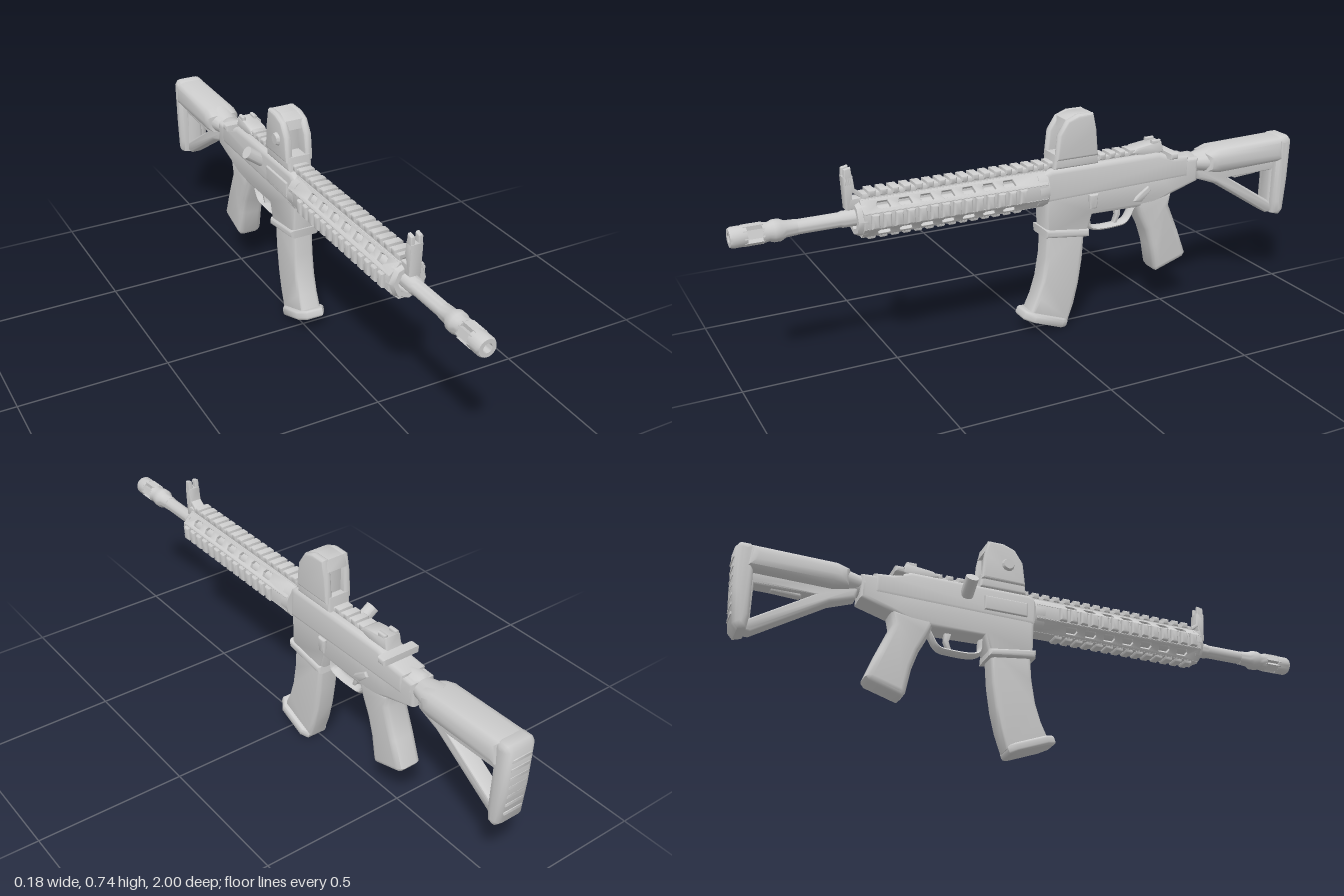
import * as THREE from 'three';
import { toCreasedNormals } from 'three/addons/utils/BufferGeometryUtils.js';

const CX = 0.012; // centre plane of the body
const AXIS = 0.509; // height of the barrel axis
const grey = new THREE.MeshStandardMaterial({ color: 0xcccccc });
grey.name = 'lightGrey';

function mesh(name, geo, parent) {
  const m = new THREE.Mesh(toCreasedNormals(geo, 0.8), grey);
  m.name = name;
  parent.add(m);
  return m;
}
const toShape = (pts) => new THREE.Shape(pts.map(([z, y]) => new THREE.Vector2(z, y)));

// Side profile in (z, y), extruded across x with bevelled edges
function prism(name, pts, width, parent, { x = CX, bevel = 0.006, holes = [] } = {}) {
  const shape = toShape(pts);
  holes.forEach((h) => shape.holes.push(toShape(h)));
  const geo = new THREE.ExtrudeGeometry(shape, {
    depth: width - 2 * bevel, bevelEnabled: true, bevelThickness: bevel,
    bevelSize: bevel, bevelOffset: -bevel, bevelSegments: 3,
  });
  geo.translate(0, 0, bevel - width / 2).rotateY(-Math.PI / 2).translate(x, 0, 0);
  return mesh(name, geo, parent);
}
const rect = (z0, z1, y0, y1) => [[z0, y0], [z1, y0], [z1, y1], [z0, y1]];

// Turned part along z; profile points are [radius, z]
function turned(name, pts, parent, segs = 20, y = AXIS) {
  const geo = new THREE.LatheGeometry(pts.map(([r, z]) => new THREE.Vector2(r, z)), segs);
  geo.rotateX(Math.PI / 2).translate(CX, y, 0);
  return mesh(name, geo, parent);
}
function part(name, parent) {
  const g = new THREE.Group();
  g.name = name;
  parent.add(g);
  return g;
}

function buildBarrel(root) {
  const g = part('barrel', root);
  turned('barrelTube', [[0, -0.02], [0.026, -0.02], [0.026, 0.66], [0.023, 0.67], [0.023, 0.83], [0, 0.83]], g);
  turned('muzzleCollar', [[0, 0.8], [0.024, 0.8], [0.026, 0.835], [0.034, 0.85], [0.034, 0.87], [0.029, 0.885],
    [0.032, 0.905], [0.014, 0.905], [0.014, 0.87], [0, 0.87]], g);
  // slotted muzzle: bars between two rings
  turned('muzzleRing', [[0.015, 0.95], [0.032, 0.95], [0.032, 0.992], [0.028, 1], [0.015, 1], [0.015, 0.95]], g);
  for (let i = 0; i < 5; i++) {
    const geo = new THREE.BoxGeometry(0.026, 0.014, 0.06);
    geo.translate(0, 0.0235, 0.93).rotateZ((i / 5) * Math.PI * 2).translate(CX, AXIS, 0);
    mesh('muzzleBar', geo, g);
  }
}

function buildHandguard(root) {
  const g = part('handguard', root);
  const shell = part('handguardShell', g);
  shell.position.set(CX, AXIS, 0);
  const slots = [];
  for (let i = 0; i < 7; i++) {
    const z = 0.1 + i * 0.07;
    slots.push([[z, -0.01], [z + 0.008, -0.013], [z + 0.038, -0.013], [z + 0.044, 0], [z + 0.038, 0.012], [z + 0.006, 0.012]]);
  }
  for (let i = 0; i < 8; i++) {
    const side = part('handguardSide', shell);
    side.rotation.z = (i * Math.PI) / 4;
    const diagonal = i % 2 === 1;
    prism('panel', rect(-0.01, 0.61, -0.027, 0.027), 0.012, side,
      { x: 0.055, bevel: 0.002, holes: diagonal ? slots : [] });
    if (diagonal || i === 2) continue;
    // worn, rounded rail teeth on the sides and underside
    for (let k = 0; k < 14; k++) {
      const z = 0.07 + k * 0.038;
      prism('railTooth', rect(z, z + 0.026, -0.023, 0.023), 0.018, side, { x: i === 6 ? 0.062 : 0.065, bevel: 0.007 });
    }
  }
  // end rings
  turned('frontRing', [[0.038, 0.595], [0.064, 0.595], [0.062, 0.61], [0.054, 0.625], [0.038, 0.625], [0.038, 0.595]], g, 8)
    .name = 'frontRing';
  turned('rearRing', [[0.04, -0.015], [0.064, -0.015], [0.064, 0.02], [0.04, 0.02], [0.04, -0.015]], g, 16);
}

function buildTopRail(root) {
  const g = part('topRail', root);
  prism('railBase', rect(-0.44, 0.6, 0.56, 0.586), 0.046, g, { bevel: 0.004 });
  for (let k = 0; k < 27; k++) {
    const z = -0.43 + k * 0.038;
    prism('railTooth', rect(z, z + 0.025, 0.574, 0.595), 0.054, g, { bevel: 0.006 });
  }
}

function buildSights(root) {
  // front sight: raked post with two ears
  const f = part('frontSight', root);
  prism('sightPost', [[0.65, 0.54], [0.655, 0.645], [0.625, 0.645], [0.62, 0.6], [0.57, 0.565], [0.57, 0.54]], 0.04, f,
    { holes: [[[0.63, 0.575], [0.605, 0.575], [0.628, 0.593]]], bevel: 0.004 });
  for (const s of [-1, 1]) {
    prism(s > 0 ? 'leftEar' : 'rightEar', [[0.654, 0.615], [0.652, 0.668], [0.63, 0.673], [0.624, 0.615]], 0.014, f,
      { x: CX + s * 0.013, bevel: 0.004 });
  }
  // hooded optic, recessed at both ends around a pane
  const o = part('optic', root);
  prism('opticBase', [[-0.04, 0.57], [-0.045, 0.62], [-0.2, 0.62], [-0.205, 0.57]], 0.085, o, { bevel: 0.01 });
  const hood = [[-0.045, 0.6], [-0.055, 0.685], [-0.085, 0.73], [-0.125, 0.745], [-0.18, 0.745], [-0.192, 0.69], [-0.2, 0.6]];
  for (const s of [-1, 1]) prism('opticSide', hood, 0.026, o, { x: CX + s * 0.036, bevel: 0.009 });
  prism('opticRoof', [[-0.078, 0.7], [-0.085, 0.73], [-0.125, 0.744], [-0.18, 0.744], [-0.19, 0.705]], 0.078, o);
  prism('opticPane', rect(-0.178, -0.1, 0.61, 0.725), 0.07, o, { bevel: 0.002 });
  const knob = mesh('opticKnob', new THREE.CylinderGeometry(0.018, 0.026, 0.02, 12), o);
  knob.rotation.z = Math.PI / 2;
  knob.position.set(CX - 0.05, 0.665, -0.11);
  // rear sight
  const r = part('rearSight', root);
  prism('rearSightBase', [[-0.34, 0.58], [-0.36, 0.597], [-0.4, 0.602], [-0.455, 0.608], [-0.465, 0.57], [-0.4, 0.565]], 0.06, r);
  for (const s of [-1, 1]) prism('rearSightEar', rect(-0.452, -0.418, 0.595, 0.615), 0.014, r, { x: CX + s * 0.021, bevel: 0.004 });
}

function buildReceiver(root) {
  const g = part('receiver', root);
  prism('upperReceiver', [[-0.005, 0.46], [-0.005, 0.56], [-0.03, 0.572], [-0.44, 0.572], [-0.5, 0.55], [-0.56, 0.545], [-0.56, 0.47]],
    0.092, g, { bevel: 0.016 });
  prism('lowerReceiver', [[-0.01, 0.49], [-0.015, 0.345], [-0.165, 0.325], [-0.185, 0.395], [-0.42, 0.39], [-0.5, 0.42],
    [-0.6, 0.45], [-0.6, 0.535], [-0.5, 0.54], [-0.45, 0.49]], 0.088, g, { bevel: 0.014 });
  prism('magazineWellLip', [[-0.008, 0.343], [-0.006, 0.372], [-0.17, 0.35], [-0.172, 0.322]], 0.104, g, { bevel: 0.012 });
  // charging handle across the back
  prism('chargingHandle', rect(-0.5, -0.468, 0.55, 0.572), 0.138, g, { bevel: 0.008 });
  // port cover and angled assist knob on the right, controls on the left
  prism('portCover', rect(-0.19, -0.04, 0.485, 0.535), 0.012, g, { x: CX - 0.047, bevel: 0.005 });
  const assist = mesh('assistKnob', new THREE.CylinderGeometry(0.022, 0.022, 0.07, 14), g);
  assist.rotation.z = 0.95;
  assist.position.set(-0.053, 0.547, -0.25);
  prism('boltCatch', [[-0.17, 0.42], [-0.165, 0.47], [-0.2, 0.47], [-0.195, 0.42]], 0.016, g, { x: CX + 0.047 });
  prism('selector', [[-0.34, 0.42], [-0.35, 0.435], [-0.395, 0.465], [-0.405, 0.45], [-0.37, 0.415]], 0.014, g, { x: CX + 0.046, bevel: 0.004 });
  // trigger and guard
  const curve = new THREE.CatmullRomCurve3([[0.39, -0.185], [0.345, -0.19], [0.333, -0.215], [0.331, -0.29], [0.338, -0.33], [0.39, -0.365]]
    .map(([y, z]) => new THREE.Vector3(0, y, z)));
  const guard = new THREE.TubeGeometry(curve, 28, 0.009, 8).scale(2.2, 1, 1).translate(CX, 0, 0);
  mesh('triggerGuard', guard, g);
  prism('trigger', [[-0.285, 0.4], [-0.295, 0.365], [-0.285, 0.335], [-0.297, 0.335], [-0.312, 0.365], [-0.31, 0.4]], 0.02, g, { bevel: 0.003 });
}

function buildMagazine(root) {
  const g = part('magazine', root);
  prism('magazineBody', [[-0.022, 0.37], [-0.016, 0.27], [-0.003, 0.19], [0.016, 0.13], [0.044, 0.07], [-0.1, 0.02],
    [-0.123, 0.085], [-0.14, 0.155], [-0.153, 0.24], [-0.161, 0.35]], 0.074, g, { bevel: 0.013 });
  // tilted foot plate with clipped corners
  const foot = new THREE.ExtrudeGeometry(toShape([[-0.03, -0.085], [0.03, -0.085], [0.052, -0.05], [0.052, 0.06],
    [0.035, 0.085], [-0.035, 0.085], [-0.052, 0.06], [-0.052, -0.05]]), {
    depth: 0.014, bevelEnabled: true, bevelThickness: 0.009, bevelSize: 0.009, bevelOffset: -0.009, bevelSegments: 3,
  });
  foot.translate(0, 0, -0.007).rotateX(-Math.PI / 2 - 0.361).translate(CX, 0.047, -0.016);
  mesh('magazineFoot', foot, g);
}

function buildGrip(root) {
  prism('grip', [[-0.35, 0.42], [-0.37, 0.36], [-0.4, 0.3], [-0.42, 0.24], [-0.436, 0.155], [-0.448, 0.141], [-0.555, 0.175],
    [-0.566, 0.19], [-0.532, 0.28], [-0.49, 0.38], [-0.5, 0.43]], 0.088, root, { bevel: 0.02 });
}

function buildStock(root) {
  const g = part('stock', root);
  turned('bufferTube', [[0, -0.75], [0.035, -0.75], [0.035, -0.6], [0.044, -0.59], [0.044, -0.54], [0, -0.54]], g, 20, 0.503);
  const neck = mesh('stockNeck', new THREE.CylinderGeometry(0.036, 0.06, 0.09, 20).rotateX(Math.PI / 2), g);
  neck.scale.y = 0.8;
  neck.position.set(CX, 0.508, -0.635);
  prism('stockBody', [[-0.635, 0.475], [-0.635, 0.54], [-0.68, 0.555], [-0.955, 0.56], [-0.965, 0.47], [-0.69, 0.465]], 0.124, g, { bevel: 0.034 });
  // open triangular frame under the body
  prism('stockFrame', [[-0.6, 0.49], [-0.97, 0.49], [-0.97, 0.275], [-0.92, 0.275], [-0.69, 0.42], [-0.61, 0.45]], 0.056, g,
    { bevel: 0.012, holes: [[[-0.745, 0.435], [-0.925, 0.435], [-0.925, 0.322]]] });
  prism('adjustLever', [[-0.76, 0.48], [-0.78, 0.425], [-0.87, 0.43], [-0.9, 0.48]], 0.03, g);
  // butt plate with shallow ribs
  prism('buttPlate', [[-0.935, 0.55], [-0.95, 0.562], [-0.982, 0.562], [-0.995, 0.545], [-0.99, 0.4], [-0.98, 0.285],
    [-0.963, 0.266], [-0.935, 0.275], [-0.93, 0.32]], 0.108, g, { bevel: 0.022 });
  for (let i = 0; i < 7; i++) {
    const y = 0.31 + i * 0.032;
    const z = -0.972 - i * 0.0018;
    prism('buttRib', [[z + 0.012, y], [z - 0.014, y + 0.006], [z - 0.014, y + 0.016], [z + 0.012, y + 0.022]], 0.07, g, { bevel: 0.003 });
  }
}

export function createModel() {
  const root = new THREE.Group();
  root.name = 'rifle';
  [buildBarrel, buildHandguard, buildTopRail, buildSights, buildReceiver, buildMagazine, buildGrip, buildStock].forEach((f) => f(root));
  return root;
}
